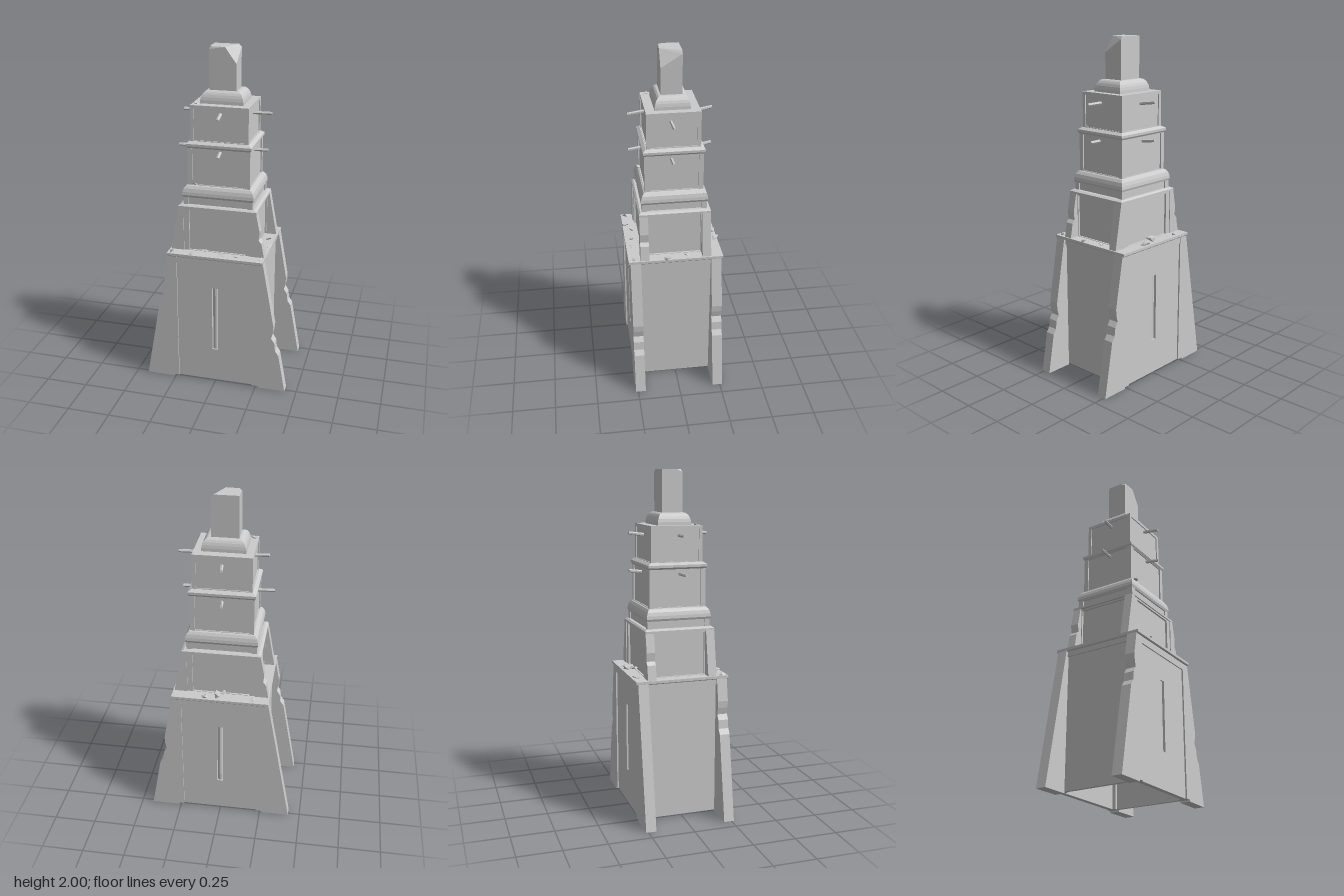
import * as THREE from 'three';
import { ConvexGeometry } from 'three/addons/geometries/ConvexGeometry.js';

const mat = new THREE.MeshStandardMaterial({ color: 0xcccccc, flatShading: true });
const matDouble = new THREE.MeshStandardMaterial({ color: 0xcccccc, flatShading: true, side: THREE.DoubleSide });

let seed = 7;
const rand = () => (seed = (seed * 16807) % 2147483647) / 2147483647;

export function createModel() {
  const root = new THREE.Group();

  function add(name, geo, x = 0, y = 0, z = 0, parent = root, m = mat) {
    const mesh = new THREE.Mesh(geo, m);
    mesh.name = name;
    mesh.position.set(x, y, z);
    parent.add(mesh);
    return mesh;
  }
  // Box given by its half widths and its bottom and top heights
  const block = (name, hx, y0, y1, hz, x = 0, z = 0, parent = root) =>
    add(name, new THREE.BoxGeometry(hx * 2, y1 - y0, hz * 2), x, (y0 + y1) / 2, z, parent);

  // Rectangular moulding lofted through [y, halfX, halfZ] rings, capped at both ends
  function loft(name, rings) {
    const pos = [], index = [], n = rings.length;
    for (const [y, a, b] of rings) pos.push(-a, y, b, a, y, b, a, y, -b, -a, y, -b);
    for (let r = 0; r < n - 1; r++) {
      for (let i = 0; i < 4; i++) {
        const p = r * 4 + i, q = r * 4 + (i + 1) % 4;
        index.push(p, q, q + 4, p, q + 4, p + 4);
      }
    }
    const t = (n - 1) * 4;
    index.push(0, 2, 1, 0, 3, 2, t, t + 1, t + 2, t, t + 2, t + 3);
    const g = new THREE.BufferGeometry();
    g.setAttribute('position', new THREE.Float32BufferAttribute(pos, 3));
    g.setIndex(index);
    const flat = g.toNonIndexed();
    flat.computeVertexNormals();
    return add(name, flat);
  }

  // Storey with sunken panels between corner posts and top and bottom rails
  function storey(name, hx, y0, y1, hz, post, depth, rail) {
    const g = new THREE.Group();
    g.name = name;
    root.add(g);
    block('panelCore', hx - depth, y0, y1, hz - depth, 0, 0, g);
    for (const sx of [-1, 1]) for (const sz of [-1, 1])
      block('cornerPost', post / 2, y0, y1, post / 2, sx * (hx - post / 2), sz * (hz - post / 2), g);
    block('topRail', hx - 0.001, y1 - rail, y1, hz - 0.001, 0, 0, g);
    block('bottomRail', hx - 0.001, y0, y0 + rail / 2, hz - 0.001, 0, 0, g);
  }

  // Upright plate cut from an outline; sx mirrors it to either side
  function plate(name, outline, sx, z0, depth) {
    const pts = outline.map(([x, y]) => new THREE.Vector2(x * sx, y));
    const geo = new THREE.ExtrudeGeometry(new THREE.Shape(pts), { depth, bevelEnabled: false });
    return add(name, geo, 0, 0, z0);
  }

  // Hollow base: slotted front and back walls, plain side walls
  for (const s of [-1, 1]) {
    const wall = new THREE.Shape([[-0.235, 0.01], [0.235, 0.01], [0.235, 0.82], [-0.235, 0.82]]
      .map(p => new THREE.Vector2(...p)));
    wall.holes.push(new THREE.Path([[-0.018, 0.22], [-0.018, 0.63], [0.018, 0.63], [0.018, 0.22]]
      .map(p => new THREE.Vector2(...p))));
    const geo = new THREE.ExtrudeGeometry(wall, { depth: 0.03, bevelEnabled: false });
    add('slottedWall', geo, 0, 0, s > 0 ? 0.226 : -0.256, root, matDouble);
    add('slotBar', new THREE.CylinderGeometry(0.018, 0.018, 0.41, 12), 0, 0.425, s * 0.232);
    block('wallHeader', 0.235, 0.775, 0.82, 0.008, 0, s * 0.256);
    block('sideWall', 0.01, 0.01, 0.82, 0.23, s * 0.255, 0);
    block('sideHeader', 0.006, 0.785, 0.82, 0.21, s * 0.268, 0);
  }

  // Sloping corner buttresses, with worn bites in the outer edge at a given height
  const bites = { '-1,1': 0.59, '1,1': 0.33, '1,-1': 0.42, '-1,-1': null };
  const edge = y => 0.43 - (y / 0.83) * 0.147;
  for (const sx of [-1, 1]) for (const sz of [-1, 1]) {
    const b = bites[`${sx},${sz}`];
    const worn = b === null ? [] : [[-0.09, 0], [-0.06, 0.015], [-0.01, 0.012], [0.02, 0.026], [0.06, 0.01], [0.1, 0]]
      .map(([dy, cut]) => [edge(b + dy) - cut, b + dy]);
    const outline = [[0.23, 0.01], [0.265, 0.01], [0.265, 0], [0.43, 0], ...worn, [0.283, 0.83], [0.23, 0.83]];
    plate('lowerButtress', outline, sx, sz > 0 ? 0.205 : -0.265, 0.06);
    const upper = sx === sz
      ? [[0.2, 0.83], [0.278, 0.83], [0.262, 0.92], [0.245, 0.94], [0.25, 0.99], [0.228, 1.1], [0.2, 1.1]]
      : [[0.2, 0.83], [0.278, 0.83], [0.23, 1.1], [0.2, 1.1]];
    plate('upperButtress', upper, sx, sz > 0 ? 0.155 : -0.205, 0.05);
  }

  // Deck over the base
  loft('deck', [[0.815, 0.28, 0.27], [0.82, 0.285, 0.275], [0.835, 0.285, 0.275]]);

  // Middle storey and its stepped mouldings
  storey('middleStorey', 0.218, 0.83, 1.1, 0.2, 0.05, 0.012, 0.015);
  loft('middleLedge', [[1.095, 0.23, 0.206], [1.108, 0.23, 0.206], [1.116, 0.215, 0.196]]);
  storey('band', 0.203, 1.11, 1.17, 0.187, 0.03, 0.008, 0.012);
  loft('roundedMoulding', [[1.16, 0.205, 0.188], [1.172, 0.21, 0.192], [1.19, 0.208, 0.19],
    [1.21, 0.202, 0.184], [1.225, 0.19, 0.174], [1.23, 0.18, 0.165]]);

  // Two upper storeys with a ledge between them
  storey('lowerUpperStorey', 0.182, 1.225, 1.46, 0.167, 0.027, 0.008, 0.015);
  loft('upperLedge', [[1.448, 0.182, 0.168], [1.458, 0.19, 0.174], [1.472, 0.19, 0.174], [1.485, 0.17, 0.156]]);
  storey('topStorey', 0.168, 1.48, 1.69, 0.152, 0.02, 0.007, 0.018);

  // Curved cap below the spire
  const cap = [];
  for (let i = 0; i <= 6; i++) {
    const a = (i / 6) * Math.PI / 2;
    cap.push([1.69 + 0.07 * Math.sin(a), 0.085 + 0.04 * Math.cos(a), 0.063 + 0.037 * Math.cos(a)]);
  }
  loft('cap', cap);

  // Square spire with a broken top corner
  const V = (x, y, z) => new THREE.Vector3(x, y, z);
  add('spire', new ConvexGeometry([
    V(-0.08, 1.755, 0.06), V(0.075, 1.755, 0.06), V(0.075, 1.755, -0.06), V(-0.08, 1.755, -0.06),
    V(-0.08, 1.985, 0.06), V(-0.065, 2, 0.055), V(0.01, 2, 0.06), V(0.075, 1.91, 0.06),
    V(0.075, 1.985, -0.06), V(0.06, 2, -0.06), V(-0.08, 2, -0.06), V(-0.08, 2, 0.03),
  ]));

  // Pegs sticking out of all four faces, on both upper storeys
  function peg(a, b) {
    const dir = b.clone().sub(a);
    const m = add('peg', new THREE.CylinderGeometry(0.009, 0.01, dir.length(), 6));
    m.position.copy(a).add(b).multiplyScalar(0.5);
    m.quaternion.setFromUnitVectors(V(0, 1, 0), dir.normalize());
  }
  for (const [y, left, right] of [[1.635, -0.24, 0.27], [1.42, -0.275, 0.25]]) {
    peg(V(0.14, y, 0.015), V(right, y, 0.01));
    peg(V(-0.14, y, 0.012), V(left, y, 0.022));
    peg(V(0.005, y + 0.012, 0.13), V(0.014, y, 0.24));
    peg(V(0.005, y - 0.005, -0.13), V(-0.01, y + 0.01, -0.24));
  }

  // Loose stone chips: [x, y, z, size]
  const chips = [
    [-0.19, 0.84, -0.25, 0.03], [0.015, 0.85, -0.24, 0.038], [0.09, 0.845, -0.26, 0.032], [-0.02, 0.85, -0.215, 0.025],
    [0.25, 0.84, -0.065, 0.026], [0.275, 0.84, 0.05, 0.03], [-0.07, 0.845, 0.228, 0.032], [-0.14, 0.84, 0.258, 0.024],
    [0.03, 0.84, 0.235, 0.022], [0.12, 0.84, 0.24, 0.026], [0.26, 0.84, 0.24, 0.02], [-0.265, 0.84, 0.245, 0.025],
    [0.09, 1.693, -0.085, 0.03], [-0.14, 1.235, 0.165, 0.025], [0.19, 1.2, -0.16, 0.022], [-0.14, 1.69, 0.12, 0.022],
  ];
  for (const [x, y, z, size] of chips) {
    const pts = [];
    for (let i = 0; i < 9; i++) {
      const a = (i / 9) * Math.PI * 2, r = size * (0.6 + 0.4 * rand());
      pts.push(V(Math.cos(a) * r, (rand() - 0.4) * size * 0.8, Math.sin(a) * r * 0.6));
    }
    add('stoneChip', new ConvexGeometry(pts), x, y, z).rotation.y = rand() * 6;
  }
  return root;
}
